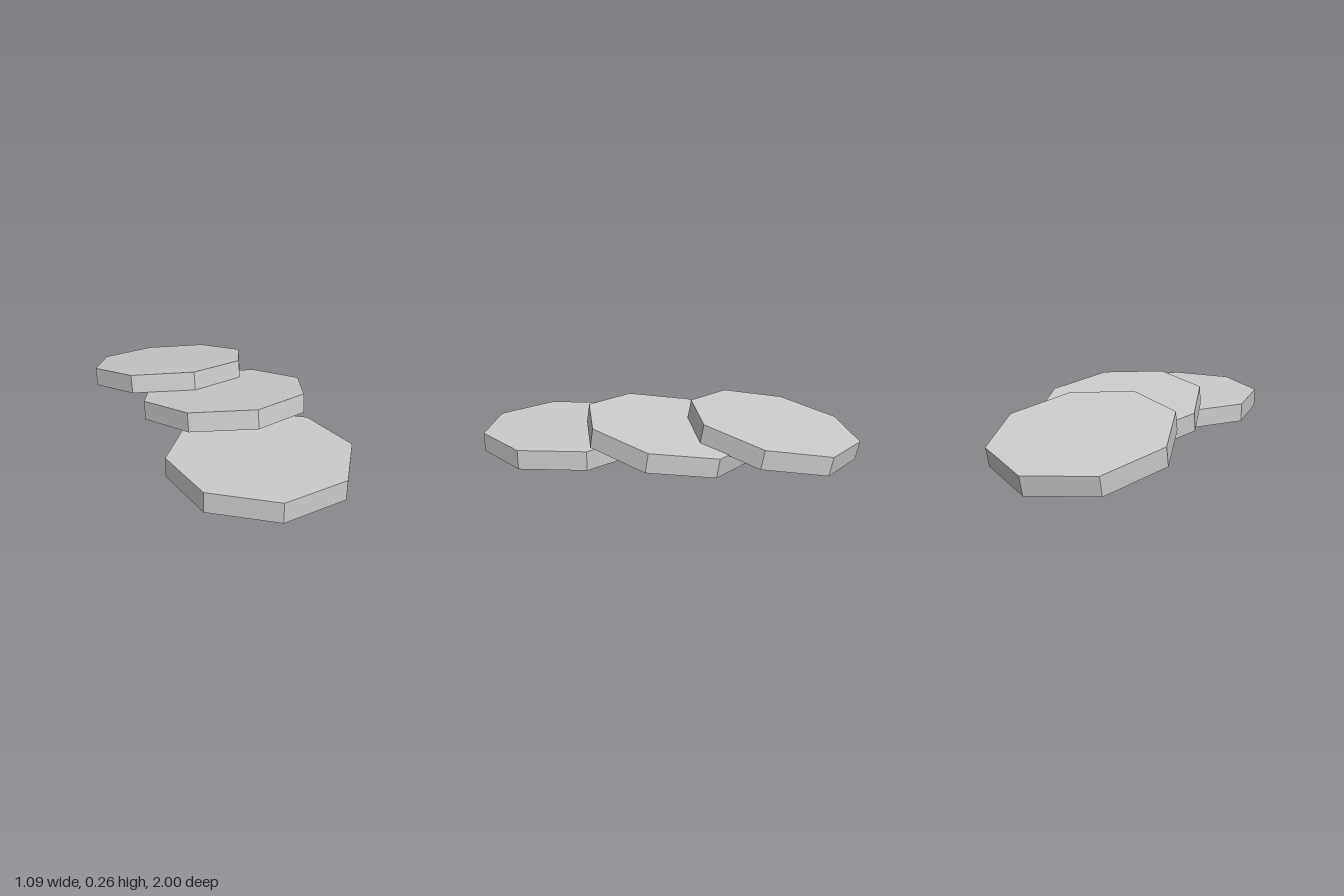
import * as THREE from 'three';

const RADIUS = 0.452;
const THICKNESS = 0.1;

export function createModel() {
  const model = new THREE.Group();
  model.name = 'overlappingDiscs';

  const material = new THREE.MeshStandardMaterial({ color: 0xcccccc, flatShading: true });
  const geometry = new THREE.CylinderGeometry(RADIUS, RADIUS, THICKNESS, 8);

  // Eight-sided discs: the front one lies flat, the others lean back
  const discs = [
    { name: 'frontDisc', position: [0.088, 0.05, 0.552], spin: -0.128, tilt: 0 },
    { name: 'middleDisc', position: [0.091, 0.12, -0.037], spin: 0.083, tilt: -0.158 },
    { name: 'backDisc', position: [-0.094, 0.129, -0.547], spin: 0.08, tilt: -0.179 },
  ];

  for (const { name, position, spin, tilt } of discs) {
    const disc = new THREE.Mesh(geometry, material);
    disc.name = name;
    disc.position.set(...position);
    disc.rotation.set(tilt, spin, 0, 'YXZ');
    model.add(disc);
  }

  return model;
}
